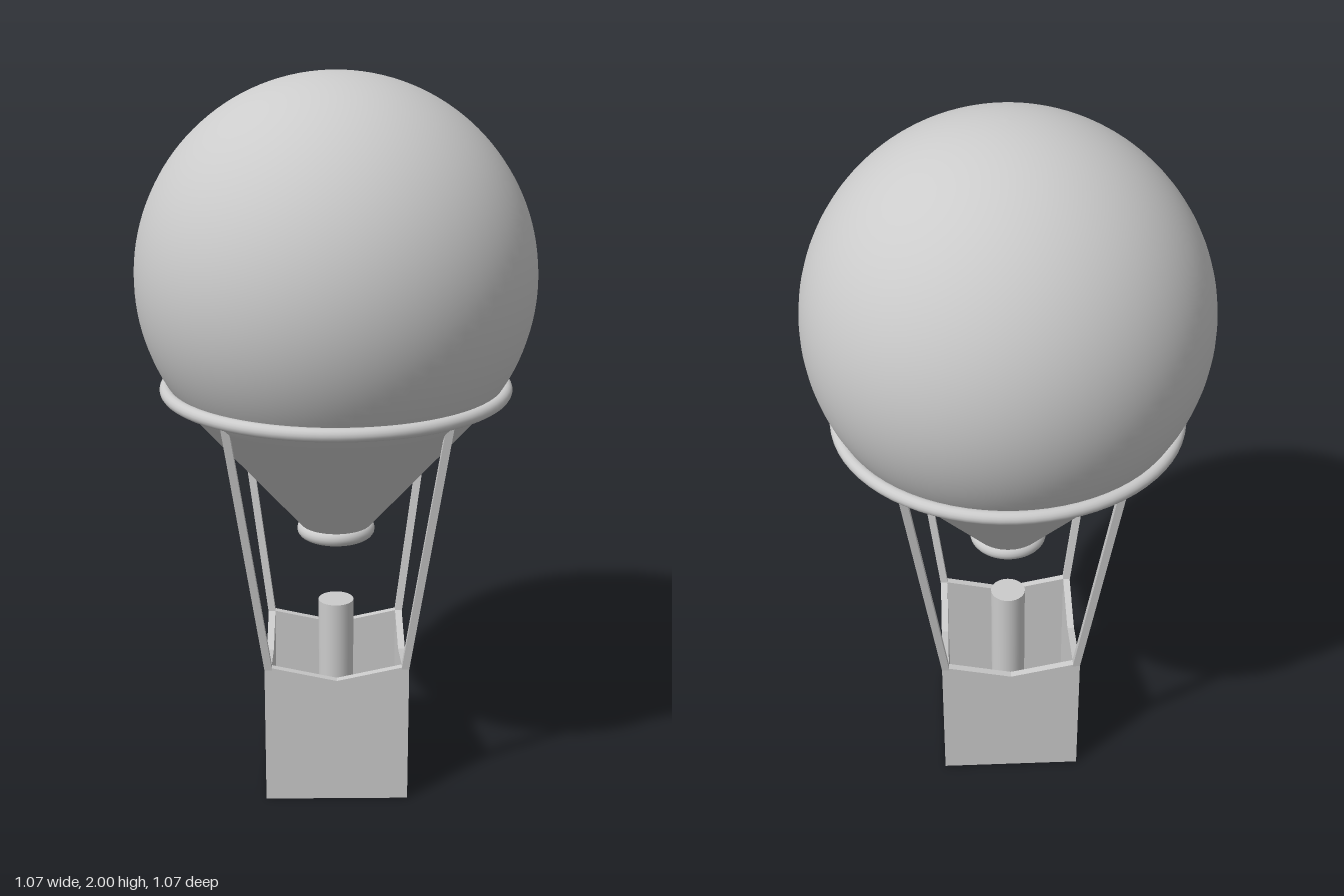
import * as THREE from 'three';

const grey = new THREE.MeshStandardMaterial({ color: 0xcccccc });
const greyOpen = new THREE.MeshStandardMaterial({ color: 0xcccccc, side: THREE.DoubleSide });

function part(parent, name, geometry, material = grey) {
  const mesh = new THREE.Mesh(geometry, material);
  mesh.name = name;
  parent.add(mesh);
  return mesh;
}

// Spherical crown whose lower flank runs tangentially into a cone
function envelopeGeometry() {
  const radius = 0.535, centreY = 1.465, tangent = -0.715;
  const points = [new THREE.Vector2(0.09, 0.755)];
  const steps = 48;
  for (let i = 0; i <= steps; i++) {
    const a = THREE.MathUtils.lerp(tangent, Math.PI / 2, i / steps);
    points.push(new THREE.Vector2(Math.max(0, radius * Math.cos(a)), centreY + radius * Math.sin(a)));
  }
  return new THREE.LatheGeometry(points, 72);
}

// Wall with a raised flat at each end and a shallow V dip in the middle
function wallGeometry(halfWidth, thickness) {
  const shape = new THREE.Shape();
  shape.moveTo(-halfWidth, 0);
  shape.lineTo(halfWidth, 0);
  shape.lineTo(halfWidth, 0.41);
  shape.lineTo(0.18, 0.41);
  shape.lineTo(0, 0.37);
  shape.lineTo(-0.18, 0.41);
  shape.lineTo(-halfWidth, 0.41);
  const geometry = new THREE.ExtrudeGeometry(shape, { depth: thickness, bevelEnabled: false });
  return geometry.translate(0, 0, 0.2 - thickness);
}

// Square strut sheared outwards from a basket corner to the ring
function strutGeometry(sx, sz) {
  const y0 = 0.4, y1 = 1.17, width = 0.021;
  const geometry = new THREE.BoxGeometry(width, y1 - y0, width);
  geometry.translate(0, (y0 + y1) / 2, 0);
  const pos = geometry.attributes.position;
  for (let i = 0; i < pos.count; i++) {
    const t = (pos.getY(i) - y0) / (y1 - y0);
    const offset = THREE.MathUtils.lerp(0.189, 0.293, t);
    pos.setX(i, pos.getX(i) + sx * offset);
    pos.setZ(i, pos.getZ(i) + sz * offset);
  }
  geometry.computeVertexNormals();
  return geometry;
}

export function createModel() {
  const model = new THREE.Group();
  model.name = 'hotAirBalloon';

  // Balloon and its two rings
  part(model, 'envelope', envelopeGeometry(), greyOpen);
  const ring = (name, radius, tube, y) =>
    part(model, name, new THREE.TorusGeometry(radius, tube, 16, 72).rotateX(Math.PI / 2).translate(0, y, 0));
  ring('loadRing', 0.461, 0.018, 1.167);
  ring('mouthRing', 0.087, 0.022, 0.749);

  // Struts
  for (const sx of [-1, 1]) {
    for (const sz of [-1, 1]) part(model, 'strut', strutGeometry(sx, sz));
  }

  // Basket
  const basket = new THREE.Group();
  basket.name = 'basket';
  model.add(basket);
  const names = ['frontWall', 'leftWall', 'backWall', 'rightWall'];
  names.forEach((name, i) => {
    const wall = part(basket, name, wallGeometry(i % 2 ? 0.18 : 0.2, 0.02));
    wall.rotation.y = i * Math.PI / 2;
  });
  part(basket, 'floor', new THREE.BoxGeometry(0.36, 0.02, 0.36).translate(0, 0.01, 0));

  // Burner standing on the basket floor
  part(model, 'burner', new THREE.CylinderGeometry(0.05, 0.05, 0.51, 32).translate(0, 0.275, 0));

  return model;
}
